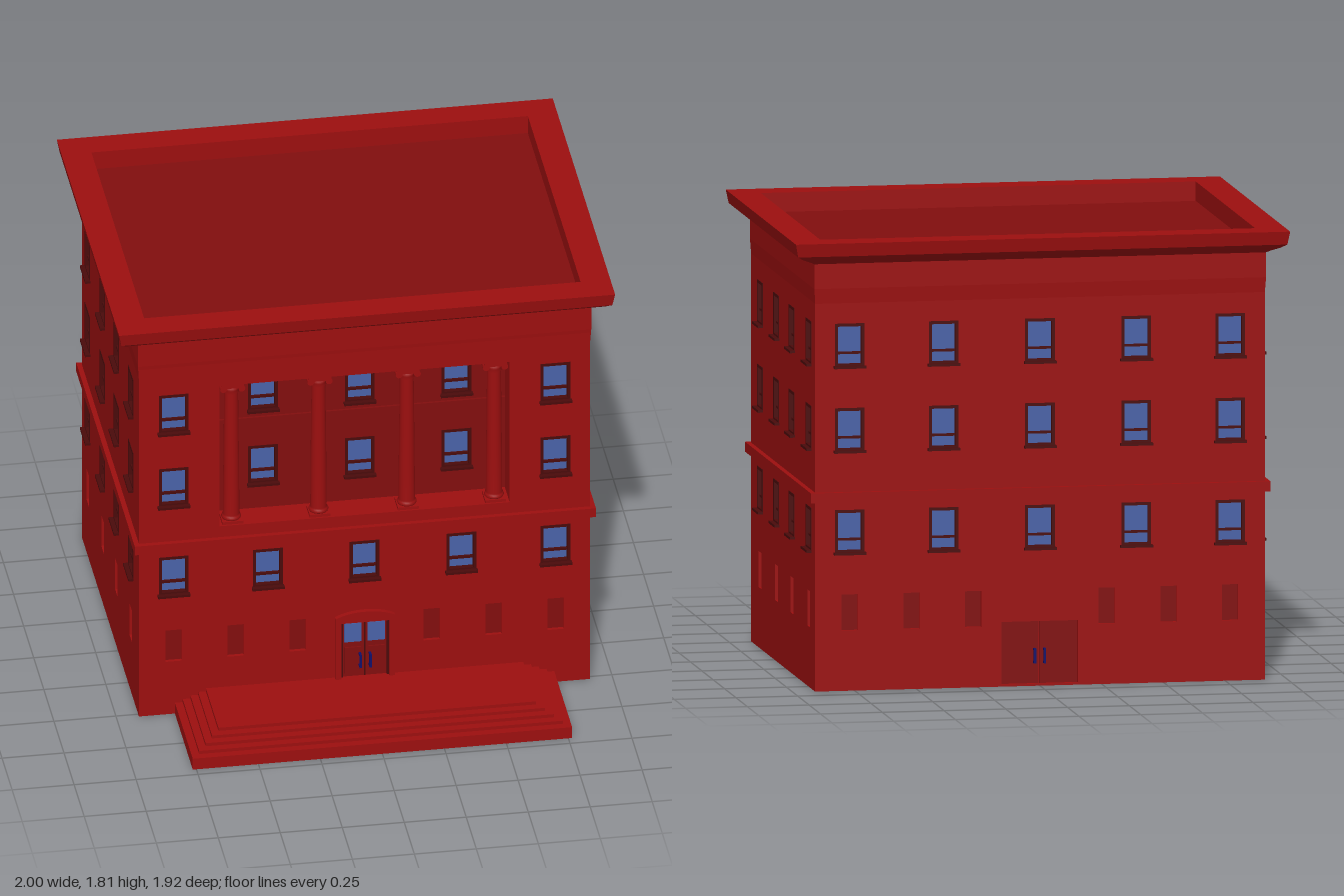
import * as THREE from 'three';

const paint = (color, extra = {}) => new THREE.MeshStandardMaterial({ color, ...extra });
const RED = paint(0x9c0f0f), DEEP = paint(0x820e0e), FRAME = paint(0x4a0a0a);
const GLASS = paint(0x4a62a8), NAVY = paint(0x10106a);
const CZ = -0.187, HX = 0.91, HZ = 0.705, T = 0.03; // body centre, half sizes, wall thickness
const ROWS = [0.64, 1.05, 1.39], WIN = { w: 0.12, h: 0.175 };

function add(parent, name, geometry, material, x = 0, y = 0, z = 0) {
  const mesh = new THREE.Mesh(geometry, material);
  mesh.name = name;
  mesh.position.set(x, y, z);
  parent.add(mesh);
  return mesh;
}
const box = (parent, name, mat, w, h, d, x, y, z) =>
  add(parent, name, new THREE.BoxGeometry(w, h, d), mat, x, y, z);

function group(parent, name) {
  const g = new THREE.Group();
  g.name = name;
  parent.add(g);
  return g;
}

function rectPath(Type, x0, y0, x1, y1) {
  return new Type().moveTo(x0, y0).lineTo(x1, y0).lineTo(x1, y1).lineTo(x0, y1).closePath();
}

// Wall slab with rectangular openings; its outer face lies at z = 0
function wall(x0, y0, x1, y1, openings) {
  const shape = rectPath(THREE.Shape, x0, y0, x1, y1);
  for (const o of openings) {
    shape.holes.push(rectPath(THREE.Path, o.x - o.w / 2, o.y - o.h / 2, o.x + o.w / 2, o.y + o.h / 2));
  }
  return new THREE.ExtrudeGeometry(shape, { depth: T, bevelEnabled: false }).translate(0, 0, -T);
}

// Sash window with frame, meeting rail and sill
function sashWindow(parent, x, y, z) {
  const g = group(parent, 'window');
  const { w, h } = WIN, b = 0.012;
  g.position.set(x, y, z);
  box(g, 'glass', GLASS, w, h, 0.006, 0, 0, -0.022);
  for (const s of [-1, 1]) {
    box(g, 'frameSide', FRAME, b, h, 0.026, s * (w - b) / 2, 0, -0.011);
    box(g, 'frameRail', FRAME, w, b, 0.026, 0, s * (h - b) / 2, -0.011);
  }
  box(g, 'meetingRail', FRAME, w, 0.009, 0.014, 0, -0.032, -0.014);
  box(g, 'sill', FRAME, w + 0.01, 0.01, 0.045, 0, -h / 2, -0.002);
}

function handles(parent, y, z) {
  for (const s of [-1, 1]) {
    box(parent, 'handle', NAVY, 0.009, 0.06, 0.008, s * 0.02, y, z + 0.022);
    for (const e of [-1, 1]) box(parent, 'handleMount', NAVY, 0.009, 0.008, 0.022, s * 0.02, y + e * 0.026, z + 0.01);
  }
}

// One side of the building: wall, windows and shallow niches
function facade(parent, name, angle, dist, half, winXs, nicheXs, skip, extraHoles) {
  const g = group(parent, name);
  g.rotation.y = angle;
  g.position.set(Math.sin(angle) * dist, 0, CZ + Math.cos(angle) * dist);
  const wins = [];
  for (const y of ROWS) for (const x of winXs) if (!skip(x, y)) wins.push({ x, y, ...WIN });
  const niches = nicheXs.map(x => ({ x, y: 0.315, w: 0.065, h: 0.145 }));
  add(g, 'wall', wall(-half, 0, half, 1.75, [...wins, ...niches, ...extraHoles]), RED);
  for (const w of wins) sashWindow(g, w.x, w.y, 0);
  for (const n of niches) box(g, 'nichePanel', DEEP, n.w, n.h, 0.01, n.x, n.y, -0.02);
  return g;
}

// Stack of rectangular rings [halfX, halfZ, y] joined by flat faces
function rectLoft(rings) {
  const pos = [];
  const corner = ([x, z, y], i) => [[x, y, z], [x, y, -z], [-x, y, -z], [-x, y, z]][i % 4];
  for (let r = 0; r + 1 < rings.length; r++) {
    for (let i = 0; i < 4; i++) {
      const a = corner(rings[r], i), b = corner(rings[r], i + 1);
      const c = corner(rings[r + 1], i + 1), d = corner(rings[r + 1], i);
      pos.push(...a, ...b, ...c, ...a, ...c, ...d);
    }
  }
  const geo = new THREE.BufferGeometry();
  geo.setAttribute('position', new THREE.Float32BufferAttribute(pos, 3));
  geo.computeVertexNormals();
  return geo;
}

// Recessed loggia with four columns
function loggia(front) {
  const g = group(front, 'loggia');
  const D = 0.12, w = 0.585, y0 = 0.85, y1 = 1.5, mid = (y0 + y1) / 2;
  const wins = [];
  for (const x of [-0.39, 0, 0.39]) for (const y of ROWS.slice(1)) wins.push({ x, y, ...WIN });
  add(g, 'backWall', wall(-w - T, y0 - T, w + T, y1 + T, wins), DEEP, 0, 0, -D);
  for (const o of wins) sashWindow(g, o.x, o.y, -D);
  for (const s of [-1, 1]) {
    box(g, 'sideReveal', RED, T, y1 - y0 + 2 * T, D - T + 0.002, s * (w + T / 2), mid, -(D + T) / 2);
    box(g, 'floorOrSoffit', RED, 2 * w, T, D - T + 0.002, 0, mid + s * ((y1 - y0 + T) / 2), -(D + T) / 2);
  }
  box(g, 'stringCourse', DEEP, 2 * w, 0.008, 0.012, 0, 1.27, -D + 0.004);
  const profile = [[0, 0], [0.037, 0], [0.04, 0.008], [0.037, 0.016], [0.033, 0.022], [0.032, 0.2],
    [0.028, 0.58], [0.033, 0.588], [0.029, 0.596], [0.037, 0.618], [0, 0.618]]
    .map(p => new THREE.Vector2(...p));
  for (const x of [-0.53, -0.178, 0.178, 0.53]) {
    add(g, 'column', new THREE.LatheGeometry(profile, 24), RED, x, y0 + 0.01, -0.05);
    box(g, 'columnBase', RED, 0.084, 0.012, 0.084, x, y0 + 0.006, -0.05);
    box(g, 'columnCapital', RED, 0.09, 0.022, 0.084, x, y1 - 0.011, -0.05);
    for (const s of [-1, 1]) {
      const scroll = add(g, 'columnScroll', new THREE.CylinderGeometry(0.014, 0.014, 0.08, 12), RED, x + s * 0.037, y1 - 0.026, -0.05);
      scroll.rotation.x = Math.PI / 2;
    }
  }
}

// Glazed double door with an arched surround
function frontDoor(front) {
  const g = group(front, 'frontDoor');
  const surround = new THREE.Shape().moveTo(-0.12, 0.1).lineTo(0.12, 0.1).lineTo(0.12, 0.385)
    .quadraticCurveTo(0.07, 0.41, 0, 0.41).quadraticCurveTo(-0.07, 0.41, -0.12, 0.385).closePath();
  surround.holes.push(rectPath(THREE.Path, -0.097, 0.105, 0.097, 0.362));
  add(g, 'surround', new THREE.ExtrudeGeometry(surround, { depth: 0.02, bevelEnabled: false }), RED);
  for (const s of [-1, 1]) {
    const x = s * 0.047;
    box(g, 'leaf', DEEP, 0.09, 0.257, 0.012, x, 0.2335, -0.008);
    box(g, 'leafGlass', GLASS, 0.07, 0.085, 0.004, x, 0.307, 0);
    box(g, 'leafPanel', DEEP, 0.066, 0.12, 0.008, x, 0.18, 0);
    box(g, 'jamb', FRAME, 0.008, 0.257, 0.02, s * 0.093, 0.2335, -0.004);
  }
  box(g, 'head', FRAME, 0.194, 0.008, 0.02, 0, 0.358, -0.004);
  box(g, 'meetingStile', FRAME, 0.006, 0.257, 0.014, 0, 0.2335, -0.006);
  handles(g, 0.185, 0.002);
}

function backDoor(back) {
  const g = group(back, 'backDoor');
  for (const s of [-1, 1]) box(g, 'leaf', DEEP, 0.152, 0.255, 0.01, s * 0.0775, 0.1325, -0.025);
  handles(g, 0.12, -0.022);
}

export function createModel() {
  const model = new THREE.Group();
  model.name = 'building';

  // Four facades
  const winXs = [-0.77, -0.39, 0, 0.39, 0.77], nicheXs = [-0.77, -0.52, -0.27, 0.27, 0.52, 0.77];
  const sideXs = [-0.505, -0.145, 0.195, 0.565];
  const none = () => false;
  const front = facade(model, 'frontFacade', 0, HZ, HX, winXs, nicheXs,
    (x, y) => y > 0.8 && Math.abs(x) < 0.5,
    [{ x: 0, y: 1.175, w: 1.17, h: 0.65 }, { x: 0, y: 0.2335, w: 0.194, h: 0.257 }]);
  loggia(front);
  frontDoor(front);
  const back = facade(model, 'backFacade', Math.PI, HZ, HX, winXs, nicheXs, none,
    [{ x: 0, y: 0.1325, w: 0.31, h: 0.255 }]);
  backDoor(back);
  for (const s of [-1, 1]) {
    const xs = sideXs.map(x => s * x);
    facade(model, s > 0 ? 'leftFacade' : 'rightFacade', s * Math.PI / 2, HX, HZ - T, xs, xs, none, []);
  }

  // Belt course, ground slab, cornice and sunken roof
  box(model, 'beltCourse', RED, 1.86, 0.04, 1.45, 0, 0.78, CZ);
  box(model, 'groundSlab', RED, 2 * HX - 0.002, 0.008, 2 * HZ - 0.002, 0, 0.004, CZ);
  add(model, 'cornice', rectLoft([[0.91, 0.705, 1.56], [0.914, 0.709, 1.62], [0.914, 0.709, 1.72],
    [0.93, 0.719, 1.728], [0.965, 0.745, 1.742], [0.99, 0.764, 1.757], [1, 0.773, 1.81],
    [0.88, 0.653, 1.81], [0.88, 0.653, 1.73]]), RED, 0, 0, -0.19);
  box(model, 'roof', DEEP, 1.765, 0.02, 1.31, 0, 1.722, -0.19);

  // Entrance steps, wrapping three sides
  [0.05, 0.064, 0.078, 0.091, 0.105].forEach((top, i) => {
    const zFront = 0.96 - i * 0.0325, zBack = 0.517;
    box(model, 'step', RED, 1.53 - i * 0.0625, top, zFront - zBack, 0, top / 2, (zFront + zBack) / 2);
  });
  return model;
}
